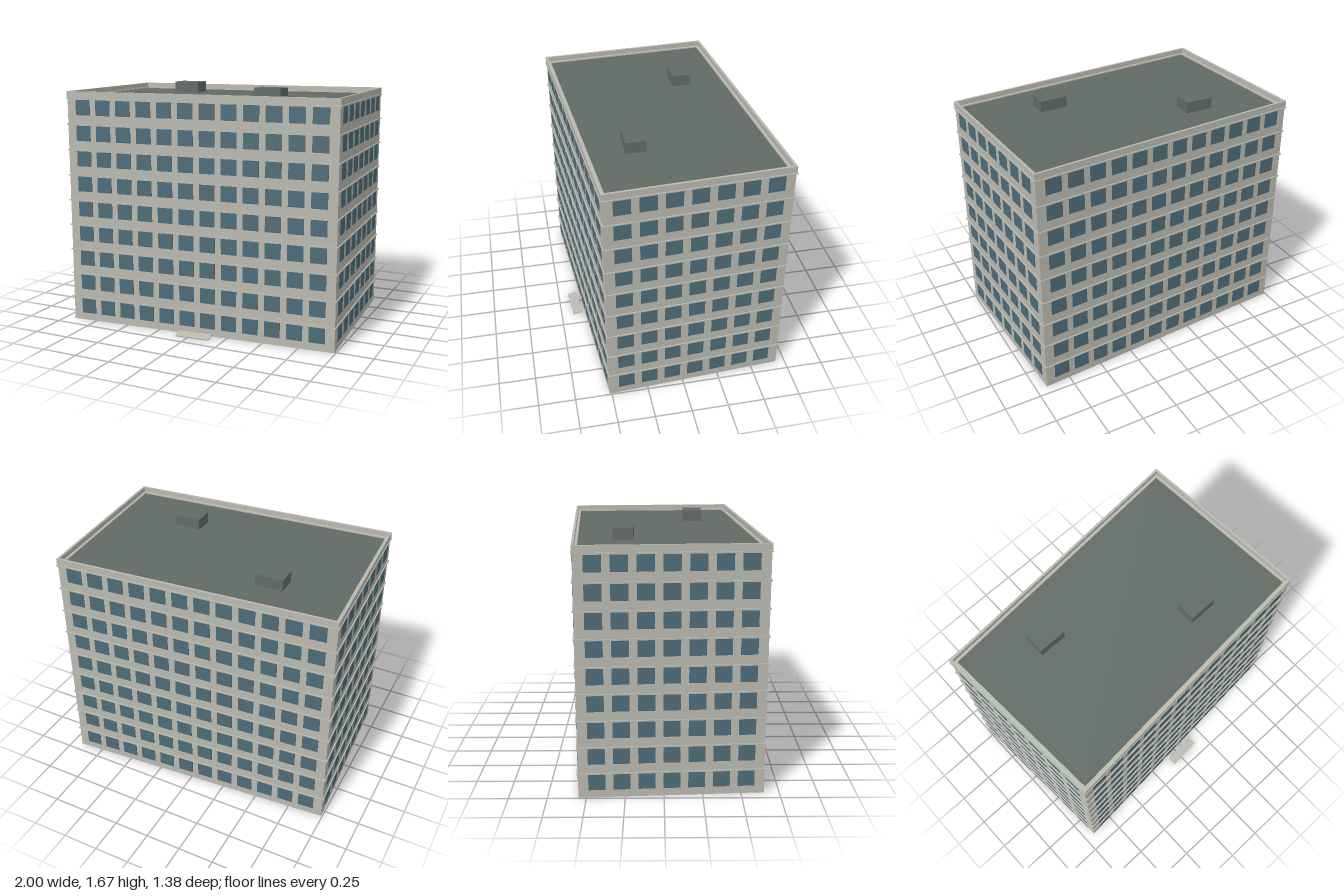
import * as THREE from 'three';
import { mergeGeometries } from 'three/addons/utils/BufferGeometryUtils.js';

const FLOORS = 9, FLOOR_H = 0.1777, ROOF_Y = 1.595, TOP_Y = 1.637;
// Half-edge vectors (x, z) of the slightly turned, slightly skewed floor plan
const U = new THREE.Vector2(0.958, -0.068), V = new THREE.Vector2(0.0345, 0.6);
const CENTRE = new THREE.Vector2(0, -0.018);

// Plan corners, pushed outward by d: front left, front right, back right, back left
function corners(d) {
  const u = U.clone().setLength(U.length() + d), v = V.clone().setLength(V.length() + d);
  return [[-1, 1], [1, 1], [1, -1], [-1, -1]].map(([a, b]) =>
    CENTRE.clone().addScaledVector(u, a).addScaledVector(v, b));
}

// Upright slab over the plan, optionally hollowed out to an inner offset
function slab(d, y0, y1, inner = null) {
  const toPlan = p => new THREE.Vector2(p.x, -p.y);
  const shape = new THREE.Shape(corners(d).map(toPlan));
  if (inner !== null) shape.holes.push(new THREE.Path(corners(inner).map(toPlan)));
  return new THREE.ExtrudeGeometry(shape, { depth: y1 - y0, bevelEnabled: false })
    .rotateX(-Math.PI / 2).translate(0, y0, 0);
}

export function createModel() {
  const group = new THREE.Group();
  const material = (name, color) => {
    const m = new THREE.MeshStandardMaterial({ color });
    m.name = name;
    return m;
  };
  const concrete = material('concrete', 0xb9b9b0);
  const roofing = material('roofing', 0x616a66);
  const glass = material('glass', 0x4d6c79);
  const add = (name, geometry, mat) => {
    const mesh = new THREE.Mesh(geometry, mat);
    mesh.name = name;
    group.add(mesh);
    return mesh;
  };

  // Main block, roof surface and stepped parapet
  add('walls', slab(0, 0, ROOF_Y - 0.006), concrete);
  add('roof', slab(-0.025, ROOF_Y - 0.006, ROOF_Y), roofing);
  add('parapetStep', slab(0, ROOF_Y - 0.006, ROOF_Y + 0.008, -0.03), concrete);
  add('parapet', slab(0.004, ROOF_Y, TOP_Y, -0.012), concrete);

  // Thin ledge at the top of every storey
  for (let i = 1; i <= FLOORS; i++) {
    const y = i * FLOOR_H - 0.012;
    add('ledge', slab(0.008, y - 0.004, y + 0.004, -0.01), concrete);
  }

  // Window plates on all four walls
  const plan = corners(0);
  ['front', 'right', 'back', 'left'].forEach((side, s) => {
    const from = plan[s], to = plan[(s + 1) % 4];
    const mid = from.clone().add(to).multiplyScalar(0.5);
    const dir = to.clone().sub(from).normalize();
    const turn = Math.atan2(-dir.y, dir.x);
    const count = s % 2 ? 7 : 12, pitch = s % 2 ? 0.1605 : 0.153;
    const plates = [];
    for (let f = 0; f < FLOORS; f++) {
      for (let i = 0; i < count; i++) {
        const t = (i - (count - 1) / 2) * pitch;
        plates.push(new THREE.BoxGeometry(0.109, 0.105, 0.007).rotateY(turn)
          .translate(mid.x + dir.x * t, 0.105 + f * FLOOR_H, mid.y + dir.y * t));
      }
    }
    const name = { front: 'frontWindows', right: 'leftWindows', back: 'backWindows', left: 'rightWindows' }[side];
    add(name, mergeGeometries(plates), glass);
  });

  // Two rooftop service boxes
  for (const [x, z] of [[-0.44, -0.262], [0.415, 0.223]]) {
    add('roofBox', new THREE.BoxGeometry(0.192, 0.077, 0.133), roofing)
      .position.set(x, ROOF_Y + 0.0385, z);
  }

  // Sloping entrance ramp in front of the door side
  const ramp = add('entranceRamp', new THREE.BoxGeometry(0.24, 0.007, 0.07), concrete);
  ramp.rotation.set(0.2, Math.atan2(-U.y, U.x), 0, 'YXZ');
  ramp.position.set(0.035, 0.0125, 0.638);

  return group;
}
